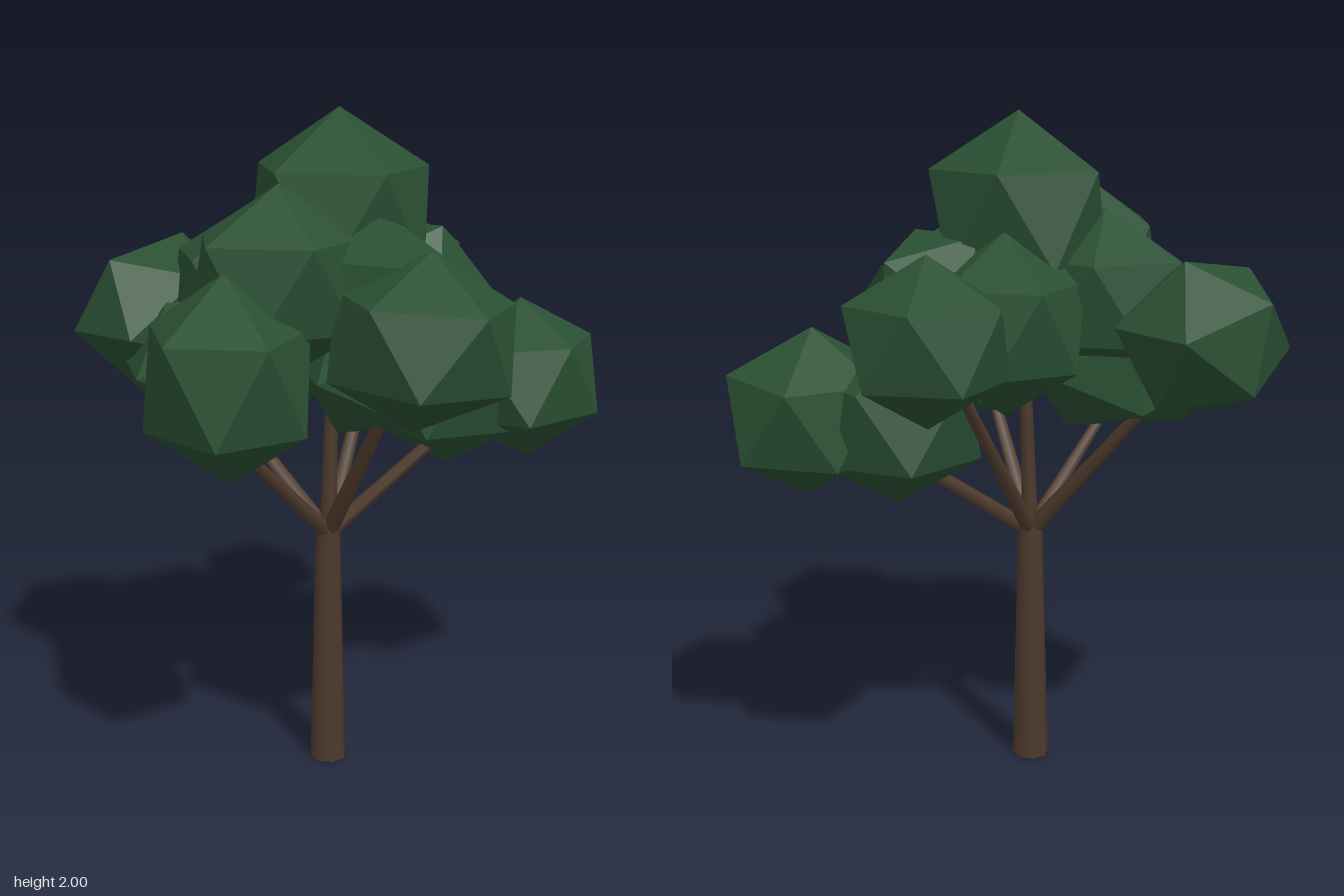
import * as THREE from 'three';

const leaf = new THREE.MeshStandardMaterial({ color: 0x2a5033 });
leaf.name = 'leafGreen';
const bark = new THREE.MeshStandardMaterial({ color: 0x4d3a2c });
bark.name = 'barkBrown';

const V = (a) => new THREE.Vector3(...a);

// Orthonormal frame from a main direction and a side direction
function frame(pole, side) {
  const x = pole.clone().normalize();
  const z = x.clone().cross(side).normalize();
  return new THREE.Matrix4().makeBasis(x, z.clone().cross(x), z);
}

const t = (1 + Math.sqrt(5)) / 2;
const restInverse = frame(V([-1, t, 0]), V([1, t, 0])).transpose();

// Faceted leaf clump: one corner points along pole, a neighbouring corner towards side;
// the radii are measured along axes turned by yaw degrees
function clump(center, radii, pole, side, yaw = 0) {
  const turn = THREE.MathUtils.degToRad(yaw);
  const geo = new THREE.IcosahedronGeometry(1, 0);
  geo.applyMatrix4(frame(V(pole), V(side)).multiply(restInverse));
  geo.rotateY(-turn).scale(...radii).rotateY(turn).translate(...center);
  geo.computeVertexNormals();
  return new THREE.Mesh(geo, leaf);
}

// Tapered faceted limb between two points
function limb(from, to, r0, r1, sides) {
  const a = V(from), b = V(to), dir = b.clone().sub(a);
  const geo = new THREE.CylinderGeometry(r1, r0, dir.length(), sides);
  const mesh = new THREE.Mesh(geo, bark);
  mesh.position.copy(a).add(b).multiplyScalar(0.5);
  mesh.quaternion.setFromUnitVectors(new THREE.Vector3(0, 1, 0), dir.normalize());
  return mesh;
}

// centre, radii, pole direction, neighbouring corner direction, yaw of the radii
const clumps = {
  crownTop: [[-0.063, 1.7, 0.015], [0.29, 0.3, 0.32], [0, 1, 0], [0.25, 0.13, 0.02]],
  lowerLeft: [[0.555, 1.16, -0.09], [0.285, 0.25, 0.255], [-0.01, 0.25, -0.02], [0.23, 0.13, -0.02], 54],
  lowerLeftInner: [[0.31, 1.14, -0.13], [0.27, 0.25, 0.275], [0, 1, 0], [0.14, 0.12, -0.23]],
  upperLeft: [[0.17, 1.44, -0.06], [0.26, 0.26, 0.25], [0.2, 0.18, -0.14], [0.2, 0, 0.1]],
  back: [[0.255, 1.425, -0.5], [0.245, 0.23, 0.255], [0, 1, 0], [0.22, 0.1, 0]],
  front: [[0.05, 1.41, 0.46], [0.285, 0.245, 0.29], [0.02, 0.24, 0], [0.1, 0.12, 0.25]],
  frontRight: [[-0.455, 1.31, 0.335], [0.255, 0.29, 0.3], [0, 1, 0], [0.1, 0.13, -0.28]],
  backRight: [[-0.54, 1.385, -0.305], [0.31, 0.24, 0.25], [0.06, 0.2, -0.05], [-0.22, 0.14, 0.15], 55],
  backInner: [[0.01, 1.42, -0.22], [0.25, 0.26, 0.28], [0, 1, 0], [-0.08, 0.1, -0.26]],
  upperRightBack: [[-0.3, 1.47, -0.08], [0.27, 0.26, 0.26], [0, 1, 0], [-0.24, 0.1, -0.18]],
  upperRightFront: [[-0.28, 1.54, 0.2], [0.28, 0.27, 0.26], [0, 1, 0], [-0.24, 0.12, 0.13]],
  upperFront: [[-0.02, 1.5, 0.22], [0.21, 0.25, 0.275], [0, 1, 0], [0.01, 0.1, 0.24]],
  middleFront: [[0.04, 1.27, 0.15], [0.28, 0.21, 0.27], [-0.53, 0.85, 0], [0.53, 0.85, 0]],
  lowerRight: [[-0.38, 1.27, -0.04], [0.34, 0.22, 0.26], [-0.53, 0.85, 0], [0.53, 0.85, 0]],
};

export function createModel() {
  const tree = new THREE.Group();
  tree.name = 'tree';

  // Trunk
  const trunk = limb([-0.107, 0, 0.017], [-0.103, 0.76, 0.017], 0.056, 0.038, 8);
  trunk.name = 'trunk';
  tree.add(trunk);

  // Branches fanning out from the trunk top into the clumps
  const branches = new THREE.Group();
  branches.name = 'branches';
  const tips = [
    [-0.45, 1.14, 0.3], [-0.53, 1.34, -0.28], [-0.07, 1.6, 0],
    [0.04, 1.4, 0.45], [0.23, 1.42, -0.48], [0.54, 1.19, -0.11],
  ];
  tips.forEach((tip, i) => {
    const b = limb([-0.103, 0.74, 0.017], tip, 0.026, 0.014, 6);
    b.name = 'branch' + (i + 1);
    branches.add(b);
  });
  tree.add(branches);

  // Foliage
  const foliage = new THREE.Group();
  foliage.name = 'foliage';
  for (const [name, spec] of Object.entries(clumps)) {
    const mesh = clump(...spec);
    mesh.name = name + 'Clump';
    foliage.add(mesh);
  }
  tree.add(foliage);
  return tree;
}
